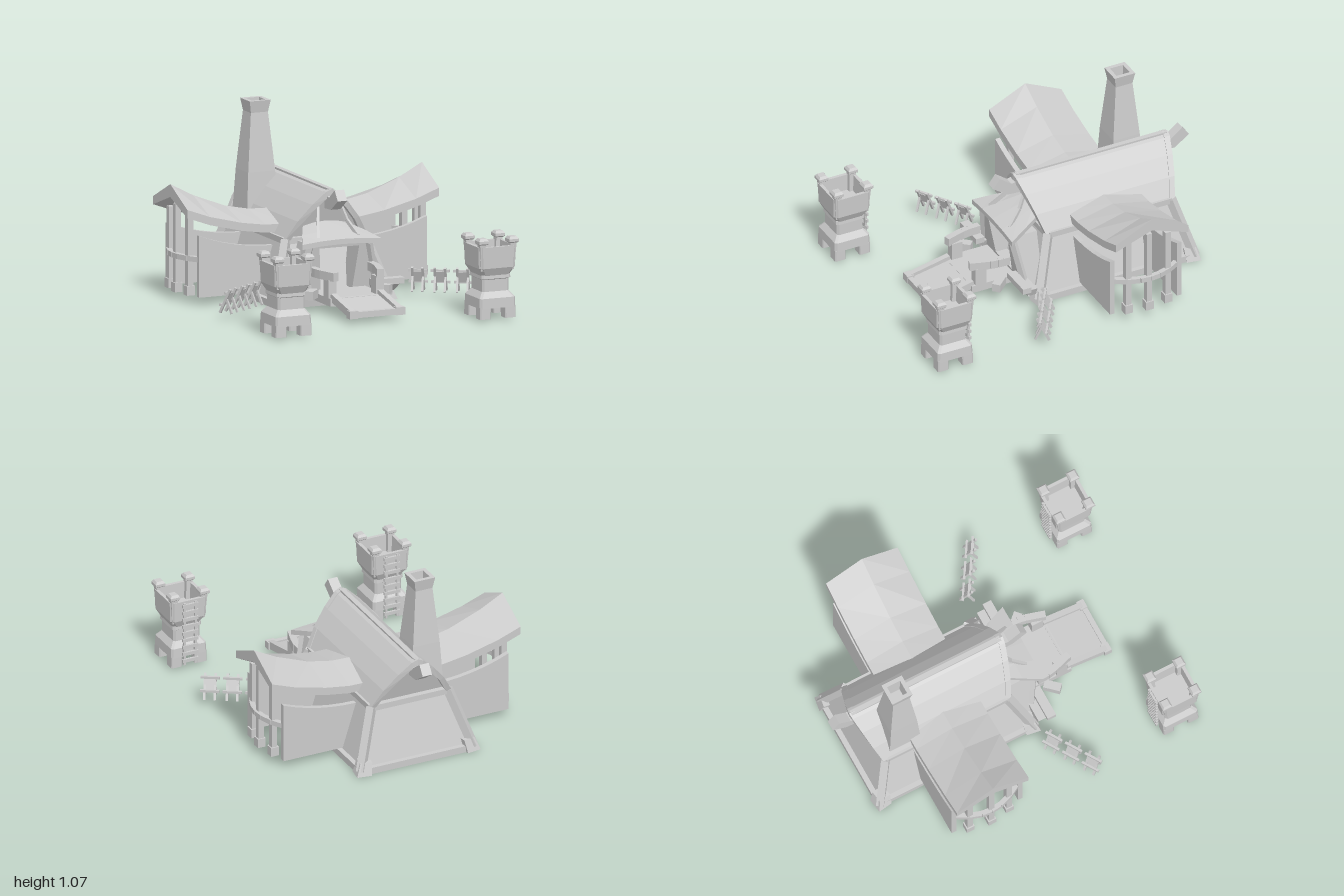
import * as THREE from 'three';

const mat = new THREE.MeshStandardMaterial({ color: 0xcccccc, flatShading: true, side: THREE.DoubleSide });
const V = (x, y, z) => new THREE.Vector3(x, y, z);

function add(parent, name, geo, x = 0, y = 0, z = 0) {
  const m = new THREE.Mesh(geo, mat);
  m.name = name;
  m.position.set(x, y, z);
  parent.add(m);
  return m;
}
const box = (p, name, w, h, d, x, y, z) => add(p, name, new THREE.BoxGeometry(w, h, d), x, y, z);

// Square timber from a to b, in the parent's own frame
function beam(p, name, a, b, w, h = w) {
  const m = add(p, name, new THREE.BoxGeometry(w, h, a.distanceTo(b)));
  m.position.copy(a).lerp(b, 0.5);
  m.quaternion.setFromRotationMatrix(new THREE.Matrix4().lookAt(b, a, V(0, 1, 0)));
}
function beams(p, name, pts, w, h) {
  for (let i = 1; i < pts.length; i++) beam(p, name, pts[i - 1], pts[i], w, h);
}

// Skin closed loops of equal length; each end is capped by pairing point i with n-1-i
function loft(p, name, loops, capped = true) {
  const out = [];
  const quad = (a, b, c, d) => [a, b, c, a, c, d].forEach(v => out.push(v.x, v.y, v.z));
  const n = loops[0].length;
  for (let k = 1; k < loops.length; k++)
    for (let i = 0; i < n; i++) {
      const j = (i + 1) % n;
      quad(loops[k - 1][i], loops[k - 1][j], loops[k][j], loops[k][i]);
    }
  const cap = (l, flip) => {
    for (let i = 0; i < n / 2 - 1; i++) {
      const q = [l[i], l[n - 1 - i], l[n - 2 - i], l[i + 1]];
      quad(...(flip ? q.reverse() : q));
    }
  };
  if (capped) {
    cap(loops[0], false);
    cap(loops[loops.length - 1], true);
  }
  const g = new THREE.BufferGeometry();
  g.setAttribute('position', new THREE.Float32BufferAttribute(out, 3));
  g.computeVertexNormals();
  return add(p, name, g);
}

// Horizontal square loop with optional cut corners
function ring(y, h, c = 0, cx = 0, cz = 0) {
  const k = h - c;
  const pts = c ? [[h, k], [h, -k], [k, -h], [-k, -h], [-h, -k], [-h, k], [-k, h], [k, h]]
    : [[h, h], [h, -h], [-h, -h], [-h, h]];
  return pts.map(([x, z]) => V(cx + x, y, cz + z));
}
const rect = (y, hx, z0, z1) => [V(hx, y, z1), V(hx, y, z0), V(-hx, y, z0), V(-hx, y, z1)];
const shape = pts => new THREE.Shape(pts.map(p => new THREE.Vector2(...p)));

const half = [[0.255, 0.37], [0.19, 0.48], [0.11, 0.575], [0.035, 0.645]];
const profile = [...half, [0, 0.66], ...half.slice().reverse().map(([x, y]) => [-x, y])];
const zFront = y => 0.03 + (y - 0.36) * 0.29;
const zBack = y => -0.79 - (y - 0.36) * 0.3;

// Roof arch as a thick loop, its ends leaning outward toward the ridge
function arch(s, t, zOf, dz) {
  const scale = k => profile.map(([x, y]) => V(x * k, 0.36 + (y - 0.36) * k, zOf(y) + dz));
  return [...scale(s), ...scale(s - t).reverse()];
}

function buildHall(root) {
  const g = new THREE.Group();
  g.name = 'hall';
  root.add(g);
  // Open below, so the inside of walls and roof shows
  loft(g, 'hallWalls', [rect(0, 0.355, -0.87, 0.13), rect(0.37, 0.24, -0.77, 0.01)], false);
  const solid = (zOf, dz) => profile.map(([x, y]) => V(x * 0.92, 0.36 + (y - 0.36) * 0.92, zOf(y) + dz));
  loft(g, 'backGable', [solid(zBack, 0.05), solid(zBack, 0.065)]);
  loft(g, 'frontGable', [solid(zFront, -0.065), solid(zFront, -0.05)]);
  loft(g, 'mainRoof', [arch(1, 0.09, zBack, 0.02), arch(1, 0.09, zFront, -0.02)]);
  loft(g, 'frontGableTrim', [arch(1.02, 0.14, zFront, -0.035), arch(1.02, 0.14, zFront, 0)]);
  loft(g, 'backGableTrim', [arch(1.02, 0.14, zBack, 0), arch(1.02, 0.14, zBack, 0.035)]);
  beam(g, 'ridgeBeam', V(0, 0.65, 0.1), V(0, 0.65, -0.87), 0.03, 0.03);
  // Upturned ridge ends: top and bottom edge of each section
  for (const [z, d] of [[0.08, 1], [-0.825, -1]]) {
    const sec = [[0, 0.63, 0, 0.55], [0.06, 0.622, 0.085, 0.555], [0.135, 0.677, 0.178, 0.62]]
      .map(([a, t, o, b]) => [V(-0.03, t, z + d * a), V(0.03, t, z + d * a),
        V(0.03, b, z + d * o), V(-0.03, b, z + d * o)]);
    loft(g, 'ridgeHorn', sec);
  }
  // Timber frame
  for (const s of [-1, 1]) {
    for (const [z0, z1, d] of [[0.13, 0.015, 1], [-0.87, -0.775, -1]]) {
      beam(g, 'cornerPost', V(s * 0.36, 0.02, z0), V(s * 0.245, 0.37, z1), 0.045);
      const foot = loft(g, 'cornerFoot', [ring(0, 0.044), ring(0.075, 0.036, 0, -s * 0.018, -d * 0.015)]);
      foot.position.set(s * 0.345, 0, z0 - d * 0.012);
      foot.rotation.y = s * d * 0.15;
    }
    beam(g, 'sideSill', V(s * 0.352, 0.02, 0.13), V(s * 0.352, 0.02, -0.87), 0.04, 0.04);
    beam(g, 'eaveBeam', V(s * 0.245, 0.365, 0.015), V(s * 0.245, 0.365, -0.775), 0.035, 0.035);
  }
  for (const [z0, z1] of [[0.13, 0.015], [-0.87, -0.775]]) {
    beam(g, 'endSill', V(-0.355, 0.02, z0), V(0.355, 0.02, z0), 0.04, 0.04);
    beam(g, 'tieBeam', V(-0.245, 0.365, z1), V(0.245, 0.365, z1), 0.035, 0.035);
  }
  // Hollow chimney
  const stack = [[0.4, 0.1], [0.66, 0.085], [1.0, 0.054], [1.07, 0.066], [1.07, 0.042], [0.95, 0.036]];
  loft(g, 'chimney', stack.map(([y, h]) => ring(y, h, 0, -0.132, -0.64)));
}

function buildWing(root, s) {
  const g = new THREE.Group();
  g.name = s > 0 ? 'leftWing' : 'rightWing';
  root.add(g);
  // Sweeping gabled roof: x, ridge, eave top, eave underside
  const sec = [[0.16, 0.485, 0.435, 0.39], [0.3, 0.49, 0.437, 0.39], [0.45, 0.52, 0.46, 0.413],
    [0.65, 0.597, 0.51, 0.462], [0.795, 0.673, 0.563, 0.515]];
  loft(g, 'wingRoof', sec.map(([x, r, t, b]) => [[-0.14, t], [-0.372, r], [-0.605, t],
    [-0.605, b], [-0.372, r - 0.075], [-0.14, b]].map(([z, y]) => V(s * x, y, z))));
  // Side panels with a dipping top edge
  const sh = shape([[s * 0.25, 0.045], [s * 0.72, 0.045], [s * 0.72, 0.405]]);
  sh.quadraticCurveTo(s * 0.5, 0.315, s * 0.25, 0.315);
  for (const z of [-0.17, -0.6])
    add(g, 'wingWall', new THREE.ExtrudeGeometry(sh, { depth: 0.03, bevelEnabled: false, curveSegments: 6 }), 0, 0, z);
  // Bowed railing and posts
  const rail = [[0.705, -0.17], [0.745, -0.24], [0.768, -0.31], [0.774, -0.37], [0.768, -0.43], [0.745, -0.5], [0.705, -0.57]];
  beams(g, 'bowedRail', rail.map(([x, z]) => V(s * x, 0.262, z)), 0.03, 0.03);
  for (const [x, z, top] of [[0.735, -0.243, 0.52], [0.755, -0.367, 0.56], [0.735, -0.497, 0.52]]) {
    box(g, 'wingPost', 0.035, top - 0.05, 0.035, s * x, (top + 0.05) / 2, z);
    box(g, 'postFoot', 0.05, 0.055, 0.05, s * x, 0.073, z);
  }
}

function buildPorch(root) {
  const g = new THREE.Group();
  g.name = 'porch';
  root.add(g);
  // Entrance wall with doorway, leaning forward toward the canopy
  const sh = shape([[-0.28, 0], [0.28, 0], [0.19, 0.37], [-0.19, 0.37]]);
  sh.holes.push(shape([[-0.1, 0.09], [-0.125, 0.345], [0.125, 0.345], [0.1, 0.09]]));
  const wall = new THREE.ExtrudeGeometry(sh, { depth: 0.1, bevelEnabled: false });
  const pos = wall.attributes.position;
  for (let i = 0; i < pos.count; i++) pos.setZ(i, pos.getZ(i) * (1 + pos.getY(i) * 1.6));
  wall.computeVertexNormals();
  add(g, 'entranceWall', wall, 0, 0, 0.06);
  // Canopy
  const canopy = (z, w, y, rise) => {
    const top = [-1, -0.5, 0, 0.5, 1].map(u => V(w * u, y + rise * (1 - u * u), z));
    return [...top, ...top.map(v => V(v.x, v.y - 0.03, v.z)).reverse()];
  };
  loft(g, 'canopy', [canopy(0.02, 0.14, 0.445, 0.02), canopy(0.14, 0.2, 0.415, 0.015), canopy(0.25, 0.25, 0.383, 0.015)]);
  for (const s of [-1, 1]) {
    beams(g, 'canopyBrace', [V(s * 0.07, 0.56, 0.08), V(s * 0.09, 0.48, 0.12), V(s * 0.125, 0.4, 0.2)], 0.016, 0.02);
    beam(g, 'doorPost', V(s * 0.185, 0.36, 0.215), V(s * 0.265, 0.02, 0.155), 0.035);
    // Counter beside the entrance
    box(g, 'counterTop', 0.2, 0.035, 0.055, s * 0.295, 0.125, 0.225);
    loft(g, 'counterBracket', [[0.06, 0.065], [0.11, 0.085]].map(([y, w]) =>
      [V(s * 0.29 - w, y, 0.15), V(s * 0.29 + w, y, 0.15), V(s * 0.29 + w, y, y + 0.13), V(s * 0.29 - w, y, y + 0.13)]));
    // Curved handrail
    const pts = new THREE.CatmullRomCurve3([V(s * 0.185, 0.225, 0.24), V(s * 0.18, 0.225, 0.33), V(s * 0.14, 0.225, 0.47)]).getPoints(5);
    beams(g, 'handrail', pts, 0.04, 0.05);
    box(g, 'railPost', 0.05, 0.15, 0.07, s * 0.15, 0.13, 0.41);
    const block = box(g, 'sideBlock', 0.05, 0.05, 0.1, s * 0.225, 0.105, 0.32);
    block.rotation.y = s * 0.75;
    beam(g, 'rampSide', V(s * 0.148, 0.105, 0.45), V(s * 0.148, 0.05, 0.71), 0.035, 0.045);
    box(g, 'rampCorner', 0.055, 0.045, 0.045, s * 0.148, 0.05, 0.71);
  }
  box(g, 'porchFloor', 0.35, 0.045, 0.28, 0, 0.078, 0.33);
  beam(g, 'ramp', V(0, 0.09, 0.45), V(0, 0.04, 0.715), 0.28, 0.025);
  box(g, 'rampSill', 0.3, 0.035, 0.03, 0, 0.048, 0.715);
}

function buildTower(root, s) {
  const g = new THREE.Group();
  g.name = s > 0 ? 'leftTower' : 'rightTower';
  g.position.set(s * 0.645, 0, 0.872);
  root.add(g);
  for (const x of [-1, 1]) for (const z of [-1, 1]) {
    loft(g, 'towerFoot', [ring(0.01, 0.034, 0.006, x * 0.079, z * 0.079), ring(0.08, 0.034, 0.006, x * 0.078, z * 0.078)]);
    loft(g, 'cornerPillar', [ring(0.29, 0.018, 0, x * 0.086, z * 0.086), ring(0.455, 0.02, 0, x * 0.096, z * 0.096)]);
    loft(g, 'pillarCap', [[0.445, 0.022], [0.452, 0.03], [0.468, 0.03], [0.482, 0.02]]
      .map(([y, h]) => ring(y, h, 0, x * 0.095, z * 0.095)));
  }
  loft(g, 'towerBase', [[0.072, 0.113], [0.13, 0.111], [0.165, 0.084]].map(([y, h]) => ring(y, h, 0.012)));
  loft(g, 'towerShaft', [[0.16, 0.084], [0.235, 0.084], [0.24, 0.092], [0.262, 0.09]].map(([y, h]) => ring(y, h, 0.012)));
  loft(g, 'lookoutBasket', [[0.255, 0.088], [0.305, 0.114], [0.43, 0.119], [0.43, 0.1], [0.33, 0.095]]
    .map(([y, h]) => ring(y, h, 0.02)));
  // Rear ladder
  for (const x of [-0.035, 0.035]) beam(g, 'ladderRail', V(x, 0.02, -0.118), V(x, 0.42, -0.122), 0.014);
  for (let i = 0; i < 9; i++) box(g, 'ladderRung', 0.1, 0.02, 0.014, 0, 0.05 + i * 0.044, -0.125);
}

function buildFence(root, s) {
  const g = new THREE.Group();
  g.name = s > 0 ? 'leftFence' : 'rightFence';
  g.position.set(s * 0.632, 0, 0.23);
  g.rotation.y = -s * 0.56;
  root.add(g);
  // Three separate leaning boards, each on two posts with rear props
  for (let i = -1; i <= 1; i++) {
    const c = i * 0.13;
    const board = box(g, 'fenceBoard', 0.07, 0.07, 0.012, c, 0.125, 0.006);
    board.rotation.x = 0.4;
    for (const d of [-0.03, 0.03]) {
      beam(g, 'fencePost', V(c + d, 0.04, -0.035), V(c + d, 0.18, 0.035), 0.014);
      beam(g, 'fenceProp', V(c + d, 0.04, 0.045), V(c + d, 0.13, 0.006), 0.012);
    }
    for (const [y, z] of [[0.09, -0.018], [0.16, 0.016]])
      beam(g, 'fenceBar', V(c - 0.055, y, z), V(c + 0.055, y, z), 0.014);
  }
}

export function createModel() {
  const root = new THREE.Group();
  root.name = 'longhouse';
  buildHall(root);
  buildPorch(root);
  for (const s of [-1, 1]) {
    buildWing(root, s);
    buildTower(root, s);
    buildFence(root, s);
  }
  return root;
}
